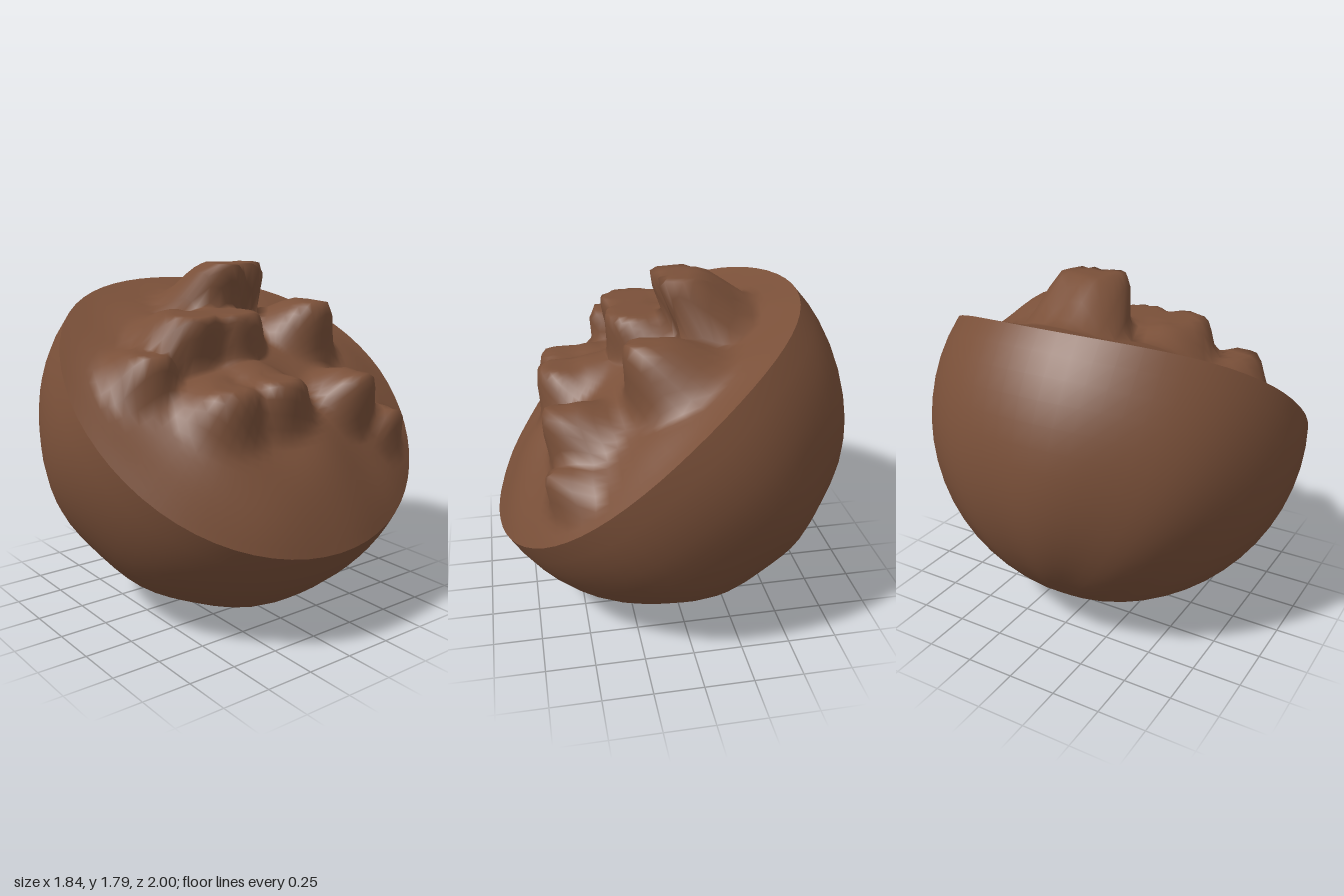
import * as THREE from 'three';

// Polar sheet: point(s, a) gives a position for s in 0..1 from the middle to the rim
function polarSheet(rings, segs, point, faceUp) {
  const pos = [], index = [];
  for (let i = 0; i <= rings; i++) {
    for (let j = 0; j < segs; j++) pos.push(...point(i / rings, (j / segs) * Math.PI * 2));
  }
  for (let i = 0; i < rings; i++) {
    for (let j = 0; j < segs; j++) {
      const k = (j + 1) % segs;
      const a = i * segs + j, b = i * segs + k, c = a + segs, d = b + segs;
      const tris = i === 0 ? [[a, d, c]] : [[a, b, c], [b, d, c]];
      for (const [p, q, r] of tris) index.push(...(faceUp ? [p, q, r] : [p, r, q]));
    }
  }
  const geo = new THREE.BufferGeometry();
  geo.setAttribute('position', new THREE.Float32BufferAttribute(pos, 3));
  geo.setIndex(index);
  geo.computeVertexNormals();
  return geo;
}

// Ball centre in the tilted frame: downhill offset and height
const CU = 0.026, CH = -0.118;

// The rim rises along the front and back and dips at both ends
function rimRise(a) {
  const t = Math.cos(a);
  return 0.1 * (1 - t * t) * (1 - 0.7 * t);
}

// Shell: part of a ball, from the bottom (s = 0) up to the wavy rim (s = 1)
function shellPoint(s, a) {
  const phi = s * Math.acos(CH - rimRise(a));
  const sin = Math.sin(phi);
  const r = 0.985 + sin * sin * (0.015 - 0.03 * Math.max(0, Math.cos(a)))
    + 0.006 * Math.sin(Math.PI * s) * Math.sin(9 * a);
  return [CU + r * sin * Math.cos(a), CH - r * Math.cos(phi), r * sin * Math.sin(a)];
}

// Lumps: downhill position, sideways position, height, inner and outer radius
const lumps = [
  [-0.54, -0.17, 0.46, 0.08, 0.19],
  [-0.54, -0.02, 0.46, 0.09, 0.24],
  [-0.26, 0.31, 0.39, 0.11, 0.27],
  [-0.26, 0.07, 0.39, 0.11, 0.28],
  [-0.24, -0.45, 0.43, 0.06, 0.29],
  [0.23, 0.08, 0.41, 0.07, 0.27],
  [0.22, 0.33, 0.37, 0.07, 0.27],
  [0.28, -0.40, 0.42, 0.04, 0.24],
  [0.42, -0.62, 0.26, 0.04, 0.18],
  [-0.10, 0.60, 0.31, 0.07, 0.22],
];

// Kernel: a low dome from the rim inwards, with the lumps on it
function kernelPoint(s, a) {
  const [ru, rh, rw] = shellPoint(1, a);
  const u = ru * s, w = rw * s;
  const inside = 1 - s * s;
  const base = rh * s ** 4 + inside * (0.27 + 0.1 * u
    + 0.015 * (Math.sin(9 * u + 2) * Math.cos(8 * w) + Math.sin(13 * w + 5 * u)));
  let h = base;
  for (const [lu, lw, top, inner, outer] of lumps) {
    const d = Math.hypot(u - lu, w - lw);
    const k = 1 - THREE.MathUtils.smoothstep(d, inner, outer);
    // lump tops lie level although the rim is tilted
    const level = top + 0.72 * THREE.MathUtils.clamp(u - lu, -inner, inner);
    h = Math.max(h, base + (level - base) * k);
  }
  return [u, h, w];
}

export function createModel() {
  const brown = new THREE.MeshStandardMaterial({ color: 0x7a5039 });
  brown.name = 'brown';
  const model = new THREE.Group();
  model.name = 'halfNut';

  const tilted = new THREE.Group();
  tilted.name = 'tiltedNut';
  tilted.rotation.z = -Math.atan2(0.6, 0.8);
  tilted.position.set(0.13, 1.1, 0);
  model.add(tilted);

  // Rounded lower shell
  const shell = new THREE.Mesh(polarSheet(16, 64, shellPoint, false), brown);
  shell.name = 'shell';
  // Lumpy broken top
  const kernel = new THREE.Mesh(polarSheet(26, 64, kernelPoint, true), brown);
  kernel.name = 'kernel';
  tilted.add(shell, kernel);
  return model;
}
